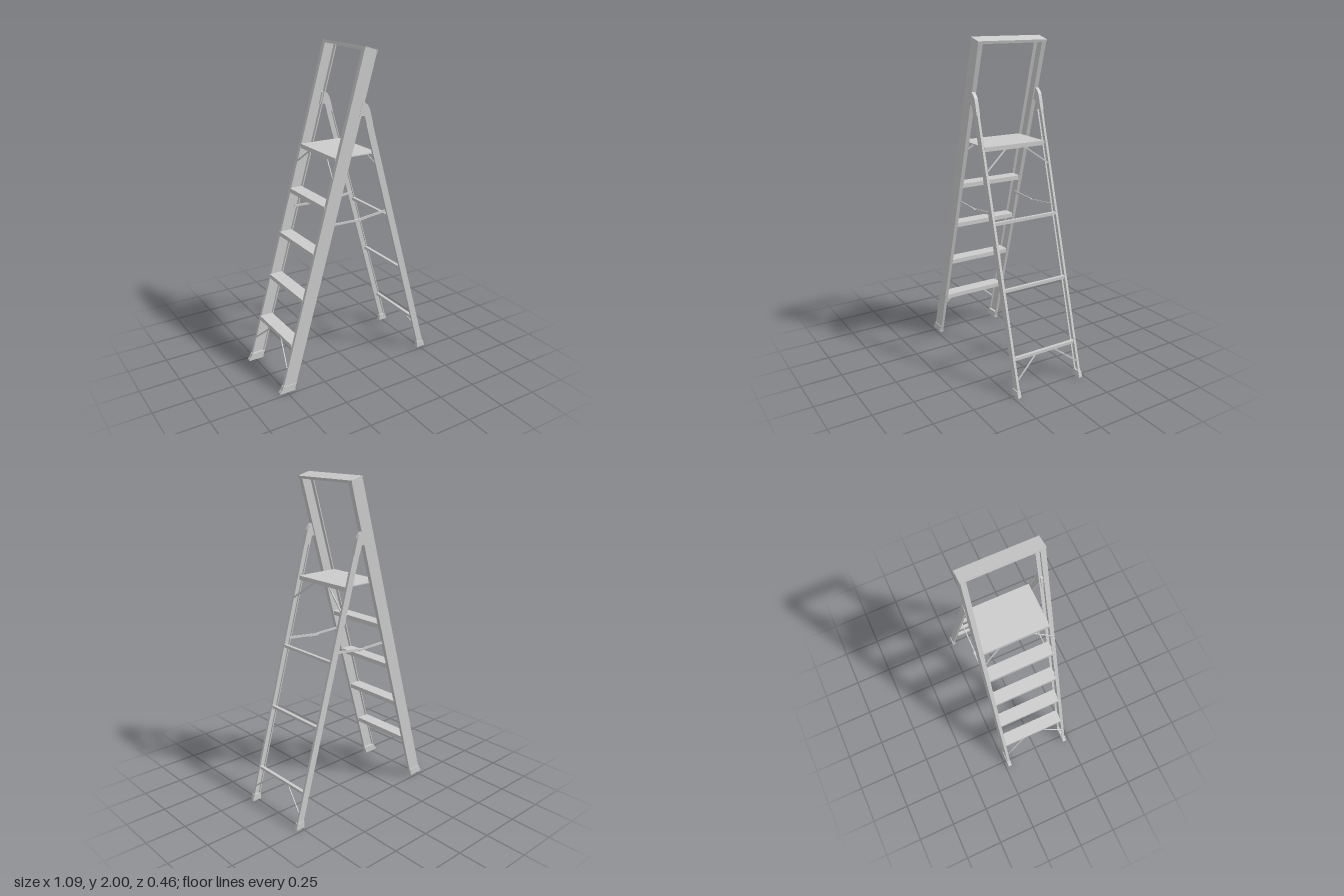
import * as THREE from 'three';

const SLOPE = 0.284; // lean of all four legs
const OUT = 0.226;   // outer face of the side rails
const mat = new THREE.MeshStandardMaterial({ color: 0xcccccc, flatShading: true });

// Prism with an xy outline, running from z0 to z1
function prism(name, pts, z0, z1) {
  const lo = Math.min(z0, z1), hi = Math.max(z0, z1);
  const shape = new THREE.Shape(pts.map(([x, y]) => new THREE.Vector2(x, y)));
  const geo = new THREE.ExtrudeGeometry(shape, { depth: hi - lo, bevelEnabled: false });
  geo.translate(0, 0, lo);
  const mesh = new THREE.Mesh(geo, mat);
  mesh.name = name;
  return mesh;
}

// Square bar between two points
function bar(name, a, b, w, d) {
  const p = new THREE.Vector3(...a), q = new THREE.Vector3(...b);
  const mesh = new THREE.Mesh(new THREE.BoxGeometry(w, d, p.distanceTo(q)), mat);
  mesh.position.copy(p).add(q).multiplyScalar(0.5);
  mesh.lookAt(q);
  mesh.name = name;
  return mesh;
}

// Tread with folded lips, open underneath
function channel(name, x0, x1, top, h, t, halfWidth) {
  return prism(name, [
    [x0, top], [x0, top - h], [x0 + t, top - h], [x0 + t, top - t],
    [x1 - t, top - t], [x1 - t, top - h], [x1, top - h], [x1, top],
  ], -halfWidth, halfWidth);
}

const frontEdge = (y) => 0.035 - (2 - y) * SLOPE;
const frontInner = (y) => 0.115 - (1.977 - y) * SLOPE;
const rearEdge = (y) => 0.538 - y * SLOPE;
const rearInner = (y) => 0.494 - y * SLOPE;

// Widens a flange inwards with height
function taper(mesh, s) {
  const p = mesh.geometry.attributes.position;
  for (let i = 0; i < p.count; i++) {
    if (Math.abs(p.getZ(i)) < 0.215) p.setZ(i, s * (0.209 - 0.0065 * p.getY(i)));
  }
  mesh.geometry.computeVertexNormals();
  return mesh;
}

function buildSide(s) {
  const g = new THREE.Group();
  g.name = s > 0 ? 'frontSide' : 'backSide';
  const t = 0.007;

  // Climbing rail: outer web with two inward flanges
  const y0 = 0.01, ya = 1.995, yb = 1.972;
  const strip = (a, b, c, d) => [[a, y0], [b, y0], [d, yb], [c, ya]];
  const f0 = frontEdge(y0), f1 = frontInner(y0), f2 = frontEdge(ya), f3 = frontInner(yb);
  g.add(prism('railWeb', strip(f0, f1, f2, f3), s * OUT, s * (OUT - 0.006)));
  g.add(taper(prism('railFrontFlange',
    [[f0, y0], [f0 + t, y0], [f2 + t, ya], [f2, ya]], s * OUT, s * 0.205), s));
  g.add(taper(prism('railBackFlange',
    [[f1 - t, y0], [f1, y0], [f3, yb], [f3 - t, yb]], s * OUT, s * 0.205), s));

  // Rear leg, also a channel
  const top = 1.63;
  const leg = (a, b) => [[a, y0], [b, y0], [b - (top - y0) * SLOPE, top], [a - (top - y0) * SLOPE, top]];
  const r0 = rearInner(y0), r1 = rearEdge(y0);
  g.add(prism('rearLegWeb', leg(r0, r1), s * (OUT - 0.001), s * 0.22));
  g.add(prism('rearLegInnerFlange', leg(r0, r0 + 0.006), s * (OUT - 0.001), s * 0.21));
  g.add(prism('rearLegOuterFlange', leg(r1 - 0.006, r1), s * (OUT - 0.001), s * 0.21));

  // Rounded hinge bracket
  g.add(prism('hingeBracket', [
    [0.0, 1.62], [0.034, 1.62], [0.05, 1.57], [0.092, 1.57], [0.076, 1.63],
    [0.066, 1.662], [0.052, 1.682], [0.034, 1.695], [0.018, 1.69],
  ], s * 0.229, s * 0.207));

  // Feet
  g.add(prism('frontFoot', [
    [-0.545, 0], [-0.445, 0], [-0.445, 0.03], [frontInner(0.045), 0.045],
    [frontEdge(0.045) - 0.003, 0.045], [-0.535, 0.02], [-0.545, 0.008],
  ], s * 0.23, s * 0.205));
  g.add(prism('rearFoot', [
    [0.48, 0], [0.54, 0], [0.54, 0.008], [0.53, 0.04], [0.48, 0.04],
  ], s * 0.23, s * 0.208));

  // Folding spreader in two links with a pivot
  const z0 = s * 0.204, z1 = s * 0.21;
  g.add(prism('spreaderFrontLink',
    [[-0.19, 0.993], [-0.03, 0.991], [0.02, 0.985], [0.03, 0.997], [-0.02, 1.003], [-0.19, 1.007]], z0, z1));
  g.add(prism('spreaderRearLink',
    [[0.0, 0.986], [0.04, 0.988], [0.1, 0.997], [0.23, 1.01], [0.23, 1.026], [0.1, 1.011], [0.0, 1.0]],
    s * 0.198, z0));
  const pin = new THREE.Mesh(new THREE.CylinderGeometry(0.006, 0.006, 0.016, 10), mat);
  pin.rotation.x = Math.PI / 2;
  pin.position.set(0.015, 0.993, s * 0.204);
  pin.name = 'spreaderPivot';
  g.add(pin);

  // Diagonal braces under the platform, lowest step and lowest rung
  const braces = [
    [frontEdge, 1.28, -0.137, 1.37, 0.1],
    [rearEdge, 1.26, 0.138, 1.37, 0.065],
    [frontEdge, 0.155, -0.452, 0.28, 0.07],
    [rearEdge, 0.1, 0.472, 0.205, 0.07],
  ];
  for (const [edge, y, x2, y2, z2] of braces) {
    g.add(bar('brace', [edge(y), y, s * 0.214], [x2, y2, s * z2], 0.005, 0.009));
  }
  return g;
}

export function createModel() {
  const model = new THREE.Group();
  model.name = 'stepladder';
  for (const s of [1, -1]) model.add(buildSide(s));

  // Steps
  [0.3, 0.575, 0.847, 1.12].forEach((y, i) => {
    const x = frontEdge(y) - 0.006;
    model.add(channel('step' + (i + 1), x, x + 0.084, y, 0.027, 0.005, 0.212));
  });

  // Standing platform
  model.add(channel('platform', -0.142, 0.14, 1.392, 0.026, 0.006, 0.204));

  // Rungs between the rear legs
  [0.223, 0.604, 0.977].forEach((y, i) => {
    const x = rearEdge(y);
    model.add(channel('rung' + (i + 1), x - 0.02, x, y, 0.018, 0.004, 0.215));
  });

  // Tilted top cap with lips folded down
  const cap = channel('topCap', 0, 0.0835, 0, 0.016, 0.005, 0.229);
  cap.rotation.z = -Math.atan(SLOPE);
  cap.position.set(0.0345, 2, 0);
  model.add(cap);
  return model;
}
